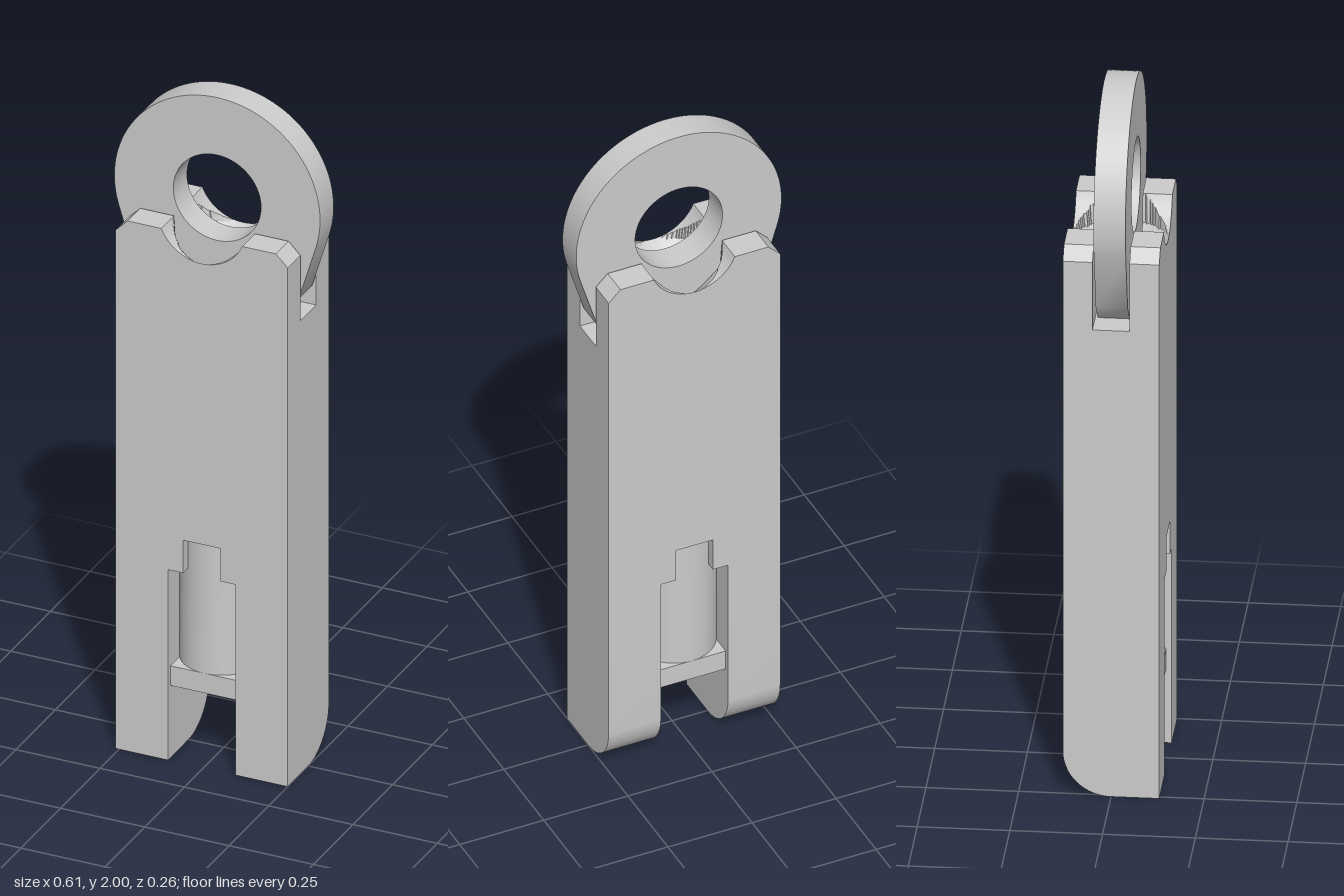
import * as THREE from 'three';
import { toCreasedNormals } from 'three/addons/utils/BufferGeometryUtils.js';

const material = new THREE.MeshStandardMaterial({ color: 0xcccccc });
const HALF_W = 0.255, HALF_D = 0.13;          // body half width and half depth
const SLOT_FLOOR = 1.38, SLOT_HALF = 0.05;    // slot that holds the ring
const TOP = 1.615, NOTCH = 0.12, WINDOW = 0.1;

function add(parent, name, geometry, x = 0, y = 0, z = 0) {
  const mesh = new THREE.Mesh(toCreasedNormals(geometry, 0.5), material);
  mesh.name = name;
  mesh.position.set(x, y, z);
  parent.add(mesh);
  return mesh;
}

function extrude(shape, depth) {
  return new THREE.ExtrudeGeometry(shape, { depth, bevelEnabled: false, curveSegments: 40 });
}

function polygon(points) {
  return new THREE.Shape(points.map(([x, y]) => new THREE.Vector2(x, y)));
}

// Height of the hollow between the cheeks' shoulders: a round groove with a conical countersink
function hollowHeight(x, z) {
  const groove = 1.665 - Math.sqrt(Math.max(0, 0.13 ** 2 - x * x));
  const r = Math.hypot(x, z);
  const cone = r < 0.129 ? 1.465 + Math.max(0, r - 0.06) : Infinity;
  return Math.min(groove, cone);
}

export function createModel() {
  const model = new THREE.Group();
  const body = new THREE.Group();
  body.name = 'body';
  body.position.x = -0.005;
  model.add(body);

  // Solid middle of the body, with the narrow top of the window cut into it
  const spine = polygon([
    [-HALF_W, 0.58], [-0.055, 0.58], [-0.055, 0.68], [0.055, 0.68], [0.055, 0.58],
    [HALF_W, 0.58], [HALF_W, SLOT_FLOOR], [-HALF_W, SLOT_FLOOR],
  ]);
  add(body, 'spine', extrude(spine, HALF_D * 2), 0, 0, -HALF_D);

  // Two legs, rounded at the lower back edge (drawn from the side, u = -z)
  const leg = new THREE.Shape();
  leg.moveTo(-HALF_D, 0);
  leg.lineTo(0, 0);
  leg.absarc(0, 0.13, 0.13, -Math.PI / 2, 0, false);
  leg.lineTo(HALF_D, 0.58);
  leg.lineTo(-HALF_D, 0.58);
  const legWidth = HALF_W - WINDOW;
  for (const [name, x] of [['rightLeg', -HALF_W], ['leftLeg', WINDOW]]) {
    add(body, name, extrude(leg, legWidth), x).rotation.y = Math.PI / 2;
  }

  // Front and back cheeks: chamfered shoulders with a hollow between them
  const shoulder = polygon([
    [NOTCH, SLOT_FLOOR], [HALF_W, SLOT_FLOOR], [HALF_W, TOP - 0.035],
    [HALF_W - 0.035, TOP], [NOTCH, TOP],
  ]);
  const cheekDepth = HALF_D - SLOT_HALF;
  for (const side of [1, -1]) {
    const cheek = new THREE.Group();
    cheek.name = side > 0 ? 'frontCheek' : 'backCheek';
    cheek.rotation.y = side > 0 ? 0 : Math.PI;
    body.add(cheek);

    const shoulderGeometry = extrude(shoulder, cheekDepth);
    add(cheek, 'leftShoulder', shoulderGeometry, 0, 0, SLOT_HALF);
    add(cheek, 'rightShoulder', shoulderGeometry, 0, 0, HALF_D).rotation.y = Math.PI;

    const hollow = new THREE.BoxGeometry(NOTCH * 2, 0.1, cheekDepth, 40, 1, 20);
    const p = hollow.attributes.position;
    for (let i = 0; i < p.count; i++) {
      const z = p.getZ(i) + SLOT_HALF + cheekDepth / 2;
      p.setZ(i, z);
      p.setY(i, p.getY(i) > 0 ? hollowHeight(p.getX(i), z) : SLOT_FLOOR);
    }
    add(cheek, 'hollow', hollow);
  }

  // Plunger and its base plate, seen through the window
  add(body, 'plunger', new THREE.CylinderGeometry(0.115, 0.115, 0.44, 48), 0, 0.49, 0);
  add(body, 'plungerPlate', new THREE.BoxGeometry(WINDOW * 2, 0.06, 0.23), 0, 0.25, 0);

  // Pull ring with a tapering tail that sits in the slot
  const cy = 1.695, r = 0.305, a = 0.3;
  const ring = new THREE.Shape();
  ring.moveTo(-0.18, SLOT_FLOOR);
  ring.lineTo(0.18, SLOT_FLOOR);
  ring.lineTo(0.241, 1.44);
  ring.absarc(0, cy, r, -a, Math.PI + a, false);
  ring.lineTo(-0.241, 1.44);
  const hole = new THREE.Path();
  hole.absarc(0, cy, 0.13, 0, Math.PI * 2, true);
  ring.holes.push(hole);
  add(model, 'pullRing', extrude(ring, 0.086), 0, 0, -0.043);

  return model;
}
